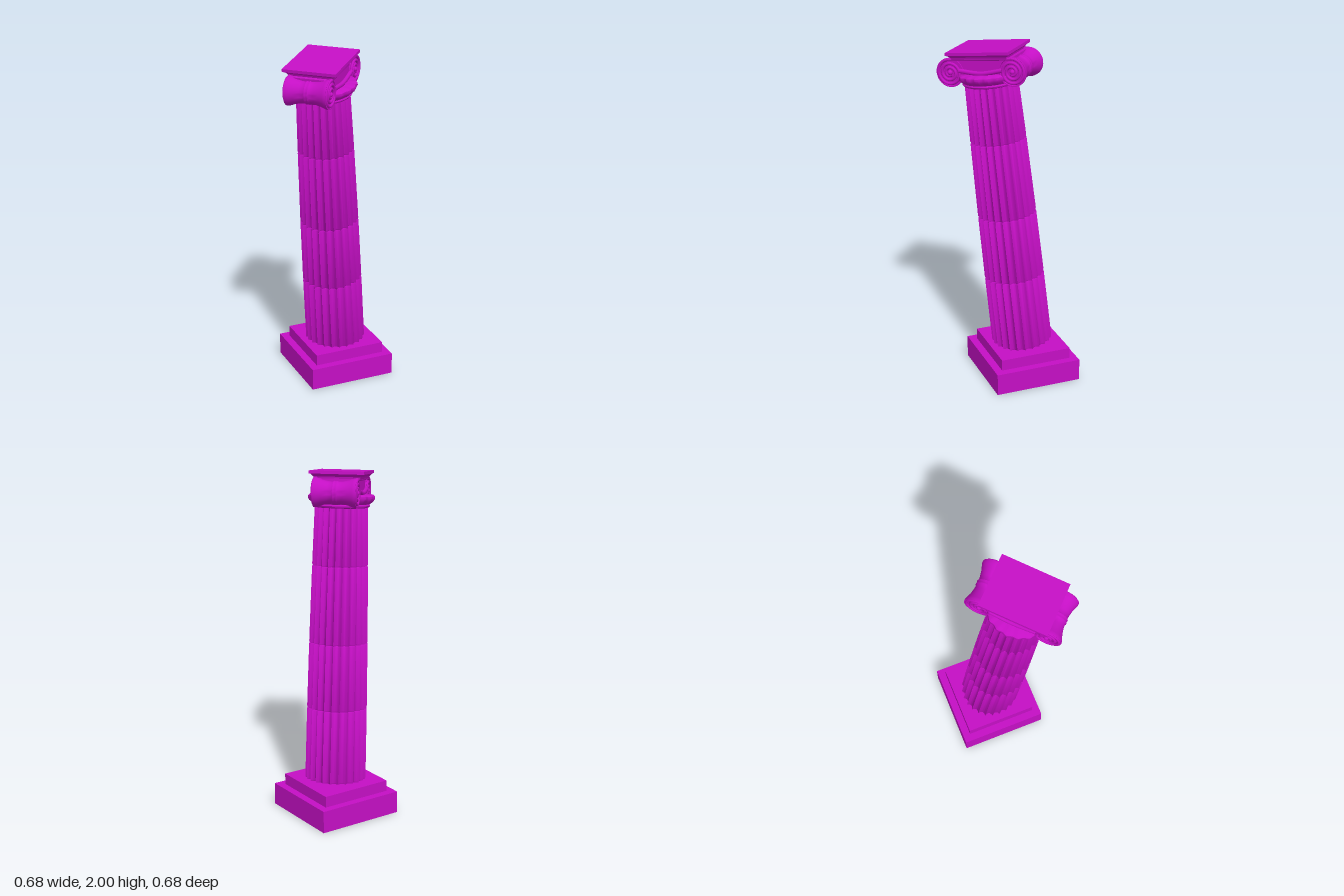
import * as THREE from 'three';
import { toCreasedNormals } from 'three/addons/utils/BufferGeometryUtils.js';

const FLUTES = 24;

export function createModel() {
  const model = new THREE.Group();
  const stone = new THREE.MeshStandardMaterial({ color: 0xc40fc4 });
  stone.name = 'magenta stone';

  const add = (parent, name, geometry, x = 0, y = 0, z = 0) => {
    const mesh = new THREE.Mesh(geometry, stone);
    mesh.name = name;
    mesh.position.set(x, y, z);
    parent.add(mesh);
    return mesh;
  };

  // Square stepped base
  add(model, 'lowerPlinth', new THREE.BoxGeometry(0.52, 0.13, 0.518), 0.085, 0.065, -0.086);
  add(model, 'upperPlinth', new THREE.BoxGeometry(0.43, 0.066, 0.428), 0.085, 0.162, -0.086);

  // Leaning column: local x points along the lean
  const column = new THREE.Group();
  column.name = 'leaningColumn';
  column.position.set(0.083, 0.195, -0.083);
  column.rotation.set(0, -Math.PI * 0.75, -THREE.MathUtils.degToRad(7), 'YXZ');
  model.add(column);

  // Fluted drums with slightly eased ends
  const drum = (y0, y1, r0, r1) => {
    const h = y1 - y0;
    const ease = 0.008;
    const geo = new THREE.CylinderGeometry(r1, r0, h, FLUTES * 8, 3);
    const p = geo.attributes.position;
    for (let i = 0; i < p.count; i++) {
      const x = p.getX(i), z = p.getZ(i), r = Math.hypot(x, z);
      let y = p.getY(i);
      if (r < 1e-4) continue;
      const end = Math.abs(y) > h * 0.4;
      if (!end) y = Math.sign(y) * (h / 2 - ease);
      const radius = THREE.MathUtils.lerp(r0, r1, y / h + 0.5) - (end ? 0.004 : 0);
      const u = ((Math.atan2(z, x) / (2 * Math.PI) + 1) * FLUTES) % 1;
      const k = (radius - 0.018 * Math.sin(Math.PI * u) ** 0.8) / r;
      p.setXYZ(i, x * k, y, z * k);
    }
    return toCreasedNormals(geo, 0.6);
  };
  const joints = [[0, 0.178], [0.423, 0.175], [0.806, 0.17], [1.254, 0.161], [1.6, 0.152]];
  for (let i = 0; i < 4; i++) {
    const [y0, r0] = joints[i], [y1, r1] = joints[i + 1];
    add(column, 'drum' + (i + 1), drum(y0, y1, r0, r1), 0, (y0 + y1) / 2, 0);
  }

  const capital = new THREE.Group();
  capital.name = 'capital';
  column.add(capital);
  const lathe = (pts, n) =>
    new THREE.LatheGeometry(pts.map(([r, y]) => new THREE.Vector2(r, y)), n);

  // Rounded echinus with soft lobes
  const echinus = lathe([[0, 1.585], [0.148, 1.585], [0.16, 1.59], [0.164, 1.598], [0.16, 1.606],
    [0.167, 1.612], [0.182, 1.625], [0.19, 1.64], [0.188, 1.652], [0.178, 1.66], [0, 1.662]], 160);
  const ep = echinus.attributes.position;
  for (let i = 0; i < ep.count; i++) {
    const x = ep.getX(i), z = ep.getZ(i);
    if (ep.getY(i) < 1.61) continue;
    const k = 1 + 0.02 * Math.cos(20 * Math.atan2(z, x));
    ep.setX(i, x * k);
    ep.setZ(i, z * k);
  }
  add(capital, 'echinus', toCreasedNormals(echinus, 0.7));

  // Block between the volutes, with a rolled edge above and below
  add(capital, 'channelBlock', new THREE.BoxGeometry(0.38, 0.095, 0.23), 0, 1.704, 0);
  const tube = (pts, r, n) =>
    new THREE.TubeGeometry(new THREE.CatmullRomCurve3(pts), n, r, 8, false);
  for (const sz of [-1, 1]) {
    add(capital, 'upperRoll', tube([-0.19, 0, 0.19].map(
      (x) => new THREE.Vector3(x, 1.749, sz * 0.121)), 0.009, 12));
    add(capital, 'lowerRoll', tube([[-0.13, 1.685], [0, 1.668], [0.13, 1.685]].map(
      ([x, y]) => new THREE.Vector3(x, y, sz * 0.121)), 0.013, 16));
  }

  // Pinched bolsters ending in spiral volutes
  const half = [[0.05, 0], [0.064, 0], [0.066, 0.01], [0.061, 0.018], [0.063, 0.04], [0.07, 0.075],
    [0.079, 0.1], [0.083, 0.112], [0.083, 0.122], [0.076, 0.122], [0.074, 0.117], [0, 0.117]].slice(1);
  const profile = [...half.slice(1).reverse().map(([r, y]) => [r, -y]), ...half];
  const bolster = toCreasedNormals(lathe(profile, 40).rotateX(Math.PI / 2), 0.7);
  const TURNS = 2.6;
  for (const sx of [-1, 1]) {
    add(capital, 'bolster', bolster, sx * 0.19, 1.675, 0);
    for (const sz of [-1, 1]) {
      const pts = [];
      for (let i = 0; i <= 60; i++) {
        const t = i / 60, a = t * TURNS * 2 * Math.PI, r = 0.075 - 0.06 * t;
        pts.push(new THREE.Vector3(sx * (0.19 + r * Math.sin(a)), 1.675 + r * Math.cos(a), sz * 0.121));
      }
      add(capital, 'voluteSpiral', tube(pts, 0.0085, 120));
      add(capital, 'voluteEye', new THREE.SphereGeometry(0.014, 16, 10), sx * 0.19, 1.675, sz * 0.12);
    }
  }

  // Abacus: thin slab over a flared moulding
  const flare = (y0, y1, bottom, top) => {
    const geo = new THREE.BoxGeometry(1, y1 - y0, 1);
    const p = geo.attributes.position;
    for (let i = 0; i < p.count; i++) {
      const [hx, hz] = p.getY(i) > 0 ? top : bottom;
      p.setX(i, p.getX(i) * 2 * hx);
      p.setZ(i, p.getZ(i) * 2 * hz);
    }
    geo.computeVertexNormals();
    return add(capital, 'abacus', geo, 0, (y0 + y1) / 2, 0);
  };
  flare(1.745, 1.762, [0.165, 0.128], [0.17, 0.134]);
  flare(1.762, 1.777, [0.17, 0.134], [0.186, 0.149]);
  flare(1.777, 1.794, [0.192, 0.155], [0.192, 0.155]);

  return model;
}
